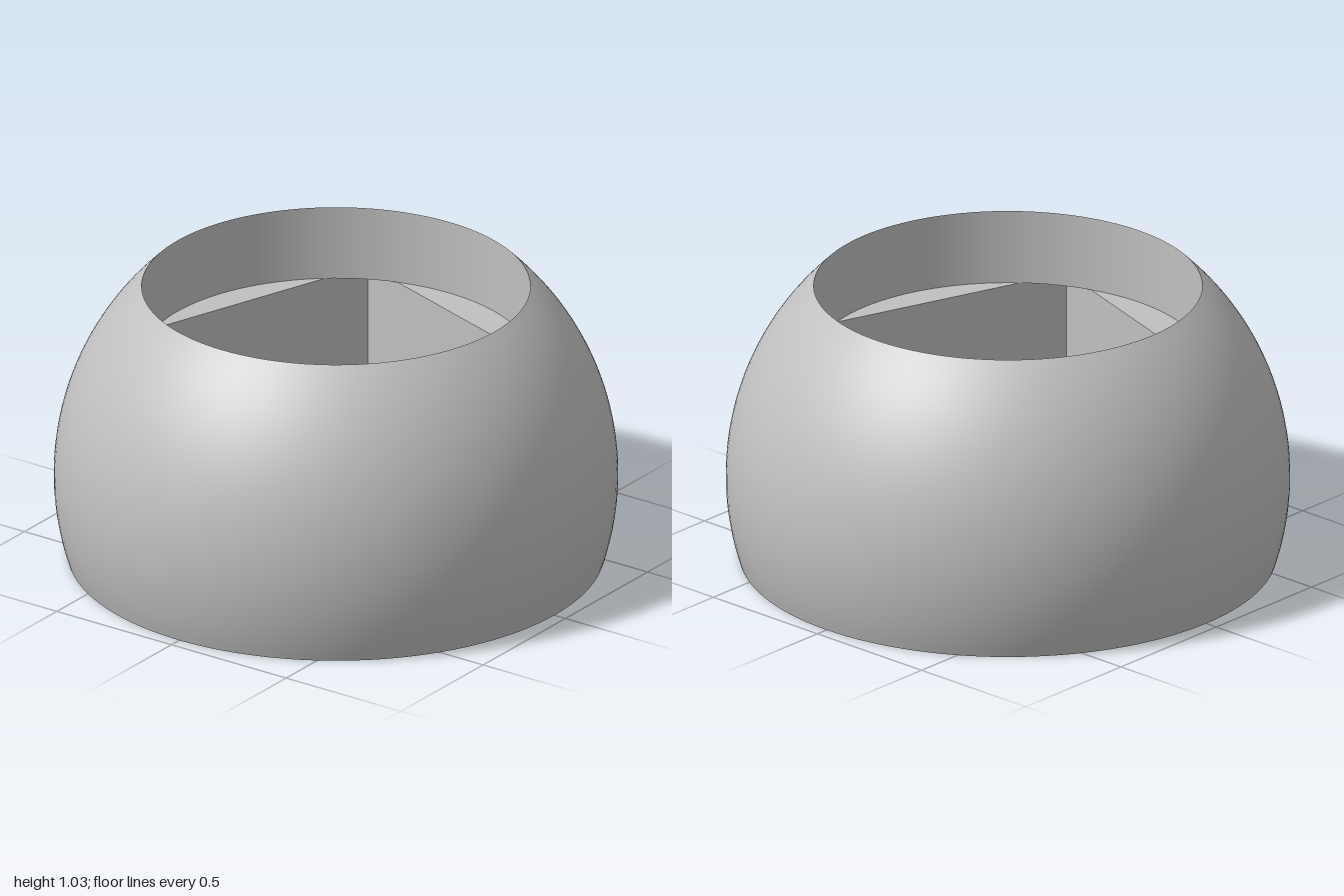
import * as THREE from 'three';
import { mergeGeometries } from 'three/addons/utils/BufferGeometryUtils.js';

const CENTRE = 0.305;          // height of the ball's centre, ball radius is 1
const TOP = 1.03;              // height of the cut top
const FLOOR = 0.755;           // floor of the round recess
const BASE_R = Math.sqrt(1 - CENTRE ** 2);
const R = Math.sqrt(1 - (TOP - CENTRE) ** 2);
const HALF = [0.58, 0.56];     // half sizes of the rectangular opening
const TURN = -0.321;           // turn of the opening about y
const SEGMENTS = 128;

// Runs make(distance to side, half length of side) for four sides, turned into place
function fourSides(make) {
  const parts = [];
  for (let k = 0; k < 4; k++) {
    parts.push(make(HALF[k % 2], HALF[(k + 1) % 2]).rotateY(k * Math.PI / 2));
  }
  return mergeGeometries(parts);
}

// Flat shape laid level, facing up or down
function level(shape, y, up) {
  return new THREE.ShapeGeometry(shape, 32).rotateX(up ? -Math.PI / 2 : Math.PI / 2).translate(0, y, 0);
}

export function createModel() {
  const model = new THREE.Group();
  model.name = 'cutBall';
  const grey = new THREE.MeshStandardMaterial({ color: 0xc0c0c0 });
  grey.name = 'grey';
  const add = (name, geometry, turn = 0) => {
    const mesh = new THREE.Mesh(geometry, grey);
    mesh.name = name;
    mesh.rotation.y = turn;
    model.add(mesh);
  };

  // Outer skin, cut flat below and above
  const profile = [];
  const low = Math.asin(-CENTRE), high = Math.asin(TOP - CENTRE);
  for (let i = 0; i <= 40; i++) {
    const a = low + (high - low) * i / 40;
    profile.push(new THREE.Vector2(Math.cos(a), CENTRE + Math.sin(a)));
  }
  add('outerSkin', new THREE.LatheGeometry(profile, SEGMENTS));

  // Round recess wall, facing inward
  add('recessWall', new THREE.LatheGeometry(
    [new THREE.Vector2(R, TOP), new THREE.Vector2(R, FLOOR)], SEGMENTS));

  // Ledges between the recess wall and the sides of the opening
  add('recessLedges', fourSides((d) => {
    const a = Math.acos(d / R);
    return level(new THREE.Shape().absarc(0, 0, R, -a, a, false), FLOOR, true);
  }), TURN);

  // Undersides of the shell over the corners of the opening
  add('cornerCeilings', fourSides((d, w) => {
    const a = Math.acos(d / R), b = Math.asin(w / R);
    const s = new THREE.Shape();
    s.moveTo(d, w);
    s.lineTo(R * Math.cos(b), w);
    s.absarc(0, 0, R, b, a, true);
    s.lineTo(d, w);
    return level(s, FLOOR, false);
  }), TURN);

  // Walls of the rectangular opening, facing inward
  add('openingWalls', fourSides((d, w) =>
    new THREE.PlaneGeometry(2 * w, FLOOR).rotateY(-Math.PI / 2).translate(d, FLOOR / 2, 0)), TURN);

  // Flat base with the rectangular opening
  const base = new THREE.Shape().absarc(0, 0, BASE_R, 0, Math.PI * 2, false);
  const [hx, hz] = HALF;
  base.holes.push(new THREE.Path([[-hx, -hz], [-hx, hz], [hx, hz], [hx, -hz]]
    .map(([x, y]) => new THREE.Vector2(x, y))));
  add('base', new THREE.ShapeGeometry(base, SEGMENTS).rotateX(Math.PI / 2), TURN);

  return model;
}
